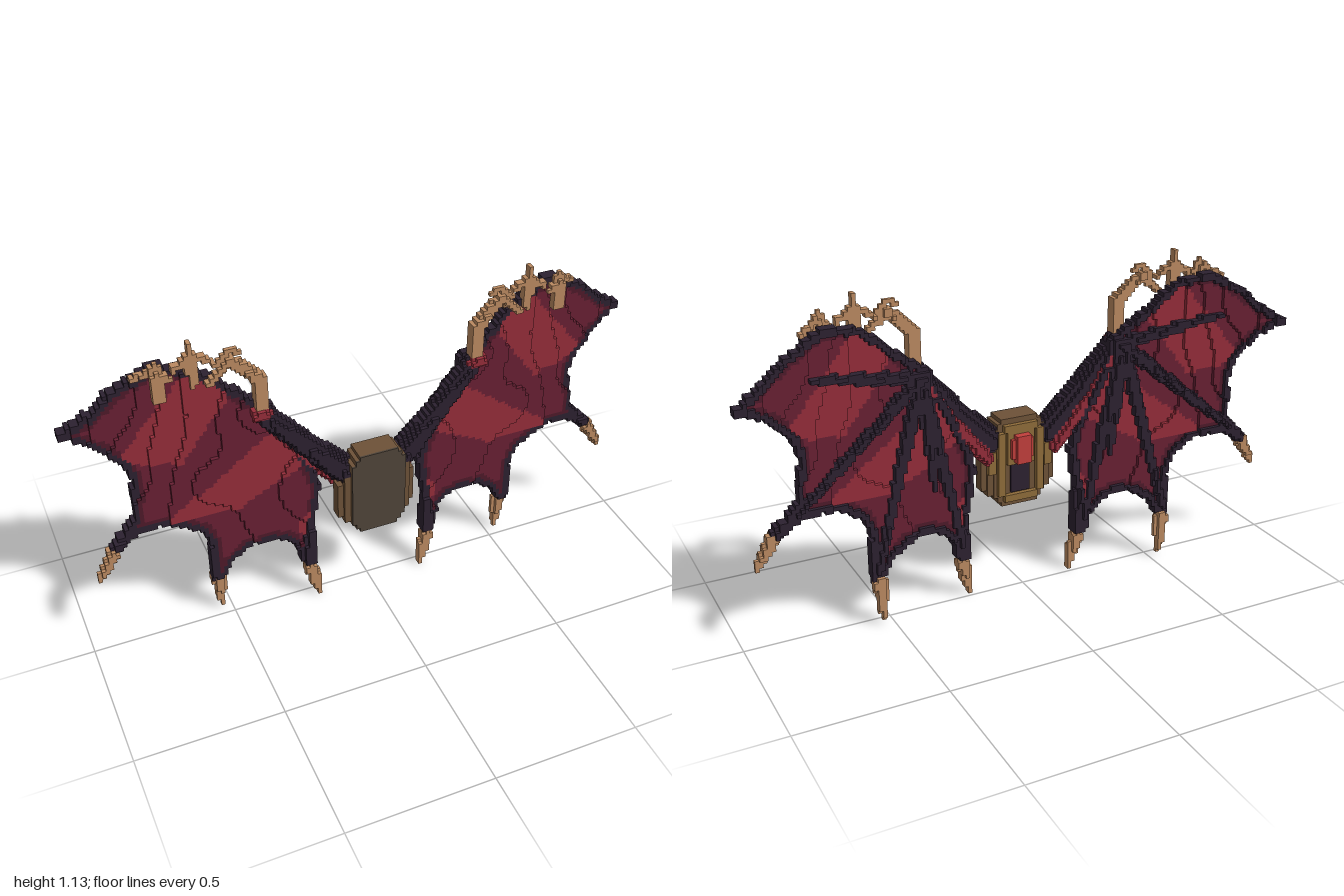
import * as THREE from 'three';

const V = 0.0135; // cube size

const mat = (name, color) => {
  const m = new THREE.MeshStandardMaterial({ color });
  m.name = name;
  return m;
};

// wing outline, clockwise from the wrist
const OUTLINE = [
  [0.35, 0.86], [0.42, 0.91], [0.49, 0.97], [0.57, 1.03], [0.68, 1.055], [0.75, 1.02], [0.82, 0.98],
  [0.9, 0.91], [0.998, 0.85], [0.92, 0.82], [0.86, 0.775], [0.81, 0.72], [0.785, 0.65], [0.8, 0.57],
  [0.8, 0.5], [0.88, 0.41], [0.87, 0.39], [0.8, 0.44], [0.72, 0.455], [0.64, 0.43], [0.585, 0.39],
  [0.56, 0.32], [0.565, 0.17], [0.525, 0.16], [0.49, 0.23], [0.44, 0.27], [0.36, 0.29], [0.3, 0.27],
  [0.265, 0.22], [0.245, 0.14], [0.2, 0.15], [0.215, 0.3], [0.195, 0.38], [0.18, 0.48], [0.2, 0.55], [0.25, 0.66],
];
const STRIPES = [
  [[0.57, 1.05], [0.43, 0.96], [0.63, 0.69], [0.84, 0.72]],
  [[0.31, 0.76], [0.19, 0.61], [0.46, 0.46], [0.72, 0.46]],
  [[0.22, 0.38], [0.26, 0.33], [0.24, 0.25], [0.19, 0.27]],
];
// depth of the wing sheet at chosen points
const DEPTH = [
  [0.37, 0.85, 0.02], [0.2, 0.5, 0.02], [0.2, 0.1, 0.02], [0.54, 0.12, -0.022], [0.9, 0.38, -0.025],
  [1, 0.85, -0.088], [0.68, 1.05, -0.04], [0.55, 1, -0.005], [0.82, 0.97, -0.065], [0.8, 0.65, -0.04], [0.55, 0.6, 0],
];

function inside(poly, x, y) {
  let hit = false;
  for (let a = 0, b = poly.length - 1; a < poly.length; b = a++) {
    const [xa, ya] = poly[a], [xb, yb] = poly[b];
    if ((ya > y) !== (yb > y) && x < ((xb - xa) * (y - ya)) / (yb - ya) + xa) hit = !hit;
  }
  return hit;
}

function edgeDistance(poly, x, y) {
  return Math.min(...poly.map(([xa, ya], a) => {
    const [xb, yb] = poly[(a + 1) % poly.length], dx = xb - xa, dy = yb - ya;
    const t = THREE.MathUtils.clamp(((x - xa) * dx + (y - ya) * dy) / (dx * dx + dy * dy), 0, 1);
    return Math.hypot(x - xa - t * dx, y - ya - t * dy);
  }));
}

function depthAt(x, y) {
  let sum = 0, weight = 0;
  for (const [px, py, pz] of DEPTH) {
    const w = 1 / ((x - px) ** 2 + (y - py) ** 2 + 0.002);
    sum += w * pz;
    weight += w;
  }
  return sum / weight;
}

// fills cubes along a tapered path of [x, y, z, radius]
function limb(cells, part, path) {
  for (let n = 0; n + 1 < path.length; n++) {
    const p = path[n], q = path[n + 1];
    const steps = Math.ceil(Math.hypot(q[0] - p[0], q[1] - p[1], q[2] - p[2]) / (V * 0.6)) + 1;
    for (let s = 0; s <= steps; s++) {
      const [x, y, z, r] = p.map((c, a) => c + ((q[a] - c) * s) / steps);
      const lo = [x, y, z].map((c) => Math.floor((c - r) / V)), hi = [x, y, z].map((c) => Math.floor((c + r) / V));
      for (let i = lo[0]; i <= hi[0]; i++) for (let j = Math.max(0, lo[1]); j <= hi[1]; j++) for (let k = lo[2]; k <= hi[2]; k++) {
        const d = Math.hypot((i + 0.5) * V - x, (j + 0.5) * V - y, (k + 0.5) * V - z);
        if (d <= Math.max(r, V * 0.75)) cells.set(`${i},${j},${k}`, part);
      }
    }
  }
}

function wingCells() {
  const cells = new Map();
  // membrane sheet with a dark border
  for (let i = 0; i < 75; i++) for (let j = 0; j < 80; j++) {
    const x = (i + 0.5) * V, y = (j + 0.5) * V;
    if (x > 1 || !inside(OUTLINE, x, y)) continue;
    const d = edgeDistance(OUTLINE, x, y), k = Math.round(depthAt(x, y) / V);
    const bright = STRIPES.some((s) => inside(s, x, y));
    const part = d < 0.021 ? 'border' : bright ? 'brightMembrane' : d < 0.036 ? 'membraneRim' : 'membrane';
    for (let n = part === 'border' ? -2 : -1; n < 1; n++) cells.set(`${i},${j},${k + n}`, part);
  }
  // finger bones fanning out over the back
  const ends = [[0.73, 0.9], [0.85, 0.43], [0.545, 0.2], [0.23, 0.2], [0.33, 0.45]];
  for (const [ex, ey] of ends) {
    const path = [];
    for (let t = 0; t <= 1.001; t += 0.125) {
      const x = 0.37 + (ex - 0.37) * t, y = 0.83 + (ey - 0.83) * t;
      path.push([x, y, depthAt(x, y) - 0.022, 0.024 - 0.012 * t]);
    }
    limb(cells, 'fingerBones', path);
  }
  // knuckles ahead of the lower claws
  limb(cells, 'fingerBones', [[0.215, 0.32, 0.02, 0.014], [0.225, 0.16, 0.02, 0.025]]);
  limb(cells, 'fingerBones', [[0.55, 0.3, -0.02, 0.014], [0.545, 0.17, -0.025, 0.022]]);
  limb(cells, 'fingerBones', [[0.8, 0.46, -0.025, 0.015], [0.865, 0.415, -0.025, 0.022]]);
  // arm, its red lining and wrist
  limb(cells, 'armLining', [[0.13, 0.5, 0.015, 0.024], [0.36, 0.8, 0.003, 0.02]]);
  limb(cells, 'arm', [[0.11, 0.55, 0.045, 0.044], [0.24, 0.69, 0.038, 0.035], [0.36, 0.83, 0.028, 0.032]]);
  limb(cells, 'arm', [[0.36, 0.83, 0, 0.034], [0.38, 0.82, -0.01, 0.03]]);
  limb(cells, 'armLining', [[0.36, 0.845, 0.045, 0.02], [0.39, 0.845, 0.045, 0.02]]);
  // hooked claws on the top edge
  limb(cells, 'claws', [[0.37, 0.88, 0.035, 0.023], [0.37, 0.97, 0.035, 0.022], [0.46, 1.055, 0.022, 0.018], [0.53, 0.99, 0.025, 0.012]]);
  limb(cells, 'claws', [[0.43, 1.075, 0.02, 0.009], [0.46, 1.09, 0.02, 0.009], [0.5, 1.05, 0.02, 0.009]]);
  limb(cells, 'claws', [[0.57, 0.99, 0, 0.016], [0.575, 1.07, 0, 0.018], [0.575, 1.12, 0, 0.009]]);
  limb(cells, 'claws', [[0.51, 1.05, 0, 0.01], [0.57, 1.09, 0, 0.012], [0.63, 1.05, 0, 0.01]]);
  limb(cells, 'claws', [[0.68, 0.97, 0.015, 0.018], [0.68, 1.04, 0.01, 0.02], [0.68, 1.085, 0.005, 0.009]]);
  limb(cells, 'claws', [[0.64, 1.03, 0.02, 0.009], [0.69, 1.07, 0, 0.011], [0.745, 1.03, -0.025, 0.009]]);
  // claws at the lower finger tips
  limb(cells, 'claws', [[0.222, 0.125, 0.02, 0.024], [0.21, 0.075, 0.025, 0.02], [0.19, 0.007, 0.027, 0.01]]);
  limb(cells, 'claws', [[0.541, 0.15, -0.038, 0.023], [0.538, 0.09, -0.037, 0.019], [0.536, 0.027, -0.037, 0.01]]);
  limb(cells, 'claws', [[0.885, 0.385, -0.022, 0.022], [0.91, 0.345, -0.02, 0.018], [0.938, 0.297, -0.02, 0.01]]);
  return cells;
}

// exposed cube faces of one part, on side +1 or -1
function cubesGeometry(cells, part, side) {
  const pos = [], nor = [];
  for (const [key, p] of cells) {
    if (p !== part) continue;
    const c = key.split(',').map(Number);
    for (let d = 0; d < 3; d++) for (const s of [1, -1]) {
      const near = c.slice();
      near[d] += s;
      if (cells.has(near.join(','))) continue;
      const quad = [[0, 0], [1, 0], [1, 1], [0, 1]].map(([a, b]) => {
        const v = c.slice();
        v[d] += s > 0 ? 1 : 0;
        v[(d + 1) % 3] += a;
        v[(d + 2) % 3] += b;
        return [v[0] * V * side, v[1] * V, v[2] * V];
      });
      const order = s * side > 0 ? [0, 1, 2, 0, 2, 3] : [0, 2, 1, 0, 3, 2];
      const n = [0, 0, 0];
      n[d] = d === 0 ? s * side : s;
      for (const o of order) { pos.push(...quad[o]); nor.push(...n); }
    }
  }
  const g = new THREE.BufferGeometry();
  g.setAttribute('position', new THREE.Float32BufferAttribute(pos, 3));
  g.setAttribute('normal', new THREE.Float32BufferAttribute(nor, 3));
  return g;
}

export function createModel() {
  const model = new THREE.Group();
  const dark = mat('dark hide', 0x2c2130), maroon = mat('maroon membrane', 0x682033);
  const rim = mat('deep maroon', 0x4e1a2a), red = mat('bright red membrane', 0x952d3a);
  const horn = mat('horn', 0xbb8a61), front = mat('dark leather', 0x50453a);
  const brown = mat('brown leather', 0x6e5238), gold = mat('old gold', 0x8f6c3a), gemRed = mat('gem red', 0xc23f3c);
  const looks = { membrane: maroon, membraneRim: rim, brightMembrane: red, border: dark, fingerBones: dark, arm: dark, armLining: red, claws: horn };

  const cells = wingCells();
  for (const side of [1, -1]) {
    const wing = new THREE.Group();
    wing.name = side > 0 ? 'leftWing' : 'rightWing';
    for (const part in looks) {
      const mesh = new THREE.Mesh(cubesGeometry(cells, part, side), looks[part]);
      mesh.name = part;
      wing.add(mesh);
    }
    model.add(wing);
  }

  // harness pack between the wings
  const pack = new THREE.Group();
  pack.name = 'pack';
  const box = (name, m, x0, x1, y0, y1, z0, z1) => {
    const mesh = new THREE.Mesh(new THREE.BoxGeometry(x1 - x0, y1 - y0, z1 - z0), m);
    mesh.position.set((x0 + x1) / 2, (y0 + y1) / 2, (z0 + z1) / 2);
    mesh.name = name;
    pack.add(mesh);
  };
  // stepped chamfer corners
  const layers = [[0.068, 0.3, 0.62], [0.082, 0.315, 0.605], [0.096, 0.335, 0.585]];
  for (const [w, y0, y1] of layers) {
    box('packBody', brown, -w, w, y0, y1, 0.025, 0.1);
    box('packFront', front, -w, w, y0, y1, 0.1, 0.107);
  }
  box('packSide', brown, -0.118, 0.118, 0.345, 0.54, 0.03, 0.092);
  box('packSideOuter', brown, -0.138, 0.138, 0.365, 0.5, 0.038, 0.08);
  // back frame, panel and gem
  for (const s of [-1, 1]) {
    box('frameSide', gold, s * 0.072 - 0.013, s * 0.072 + 0.013, 0.345, 0.575, 0.008, 0.026);
    box('frameClasp', gold, s * 0.105 - 0.014, s * 0.105 + 0.014, 0.43, 0.51, 0.015, 0.031);
  }
  box('frameTop', gold, -0.062, 0.062, 0.575, 0.6, 0.008, 0.026);
  box('frameBottom', gold, -0.062, 0.062, 0.32, 0.345, 0.008, 0.026);
  box('backPanel', dark, -0.035, 0.035, 0.35, 0.47, 0.017, 0.026);
  box('gemSetting', gold, -0.05, 0.05, 0.455, 0.575, 0.01, 0.026);
  box('gem', gemRed, -0.04, 0.04, 0.48, 0.55, -0.004, 0.012);
  box('gemCore', gemRed, -0.027, 0.027, 0.465, 0.565, -0.018, 0.012);
  model.add(pack);
  return model;
}
